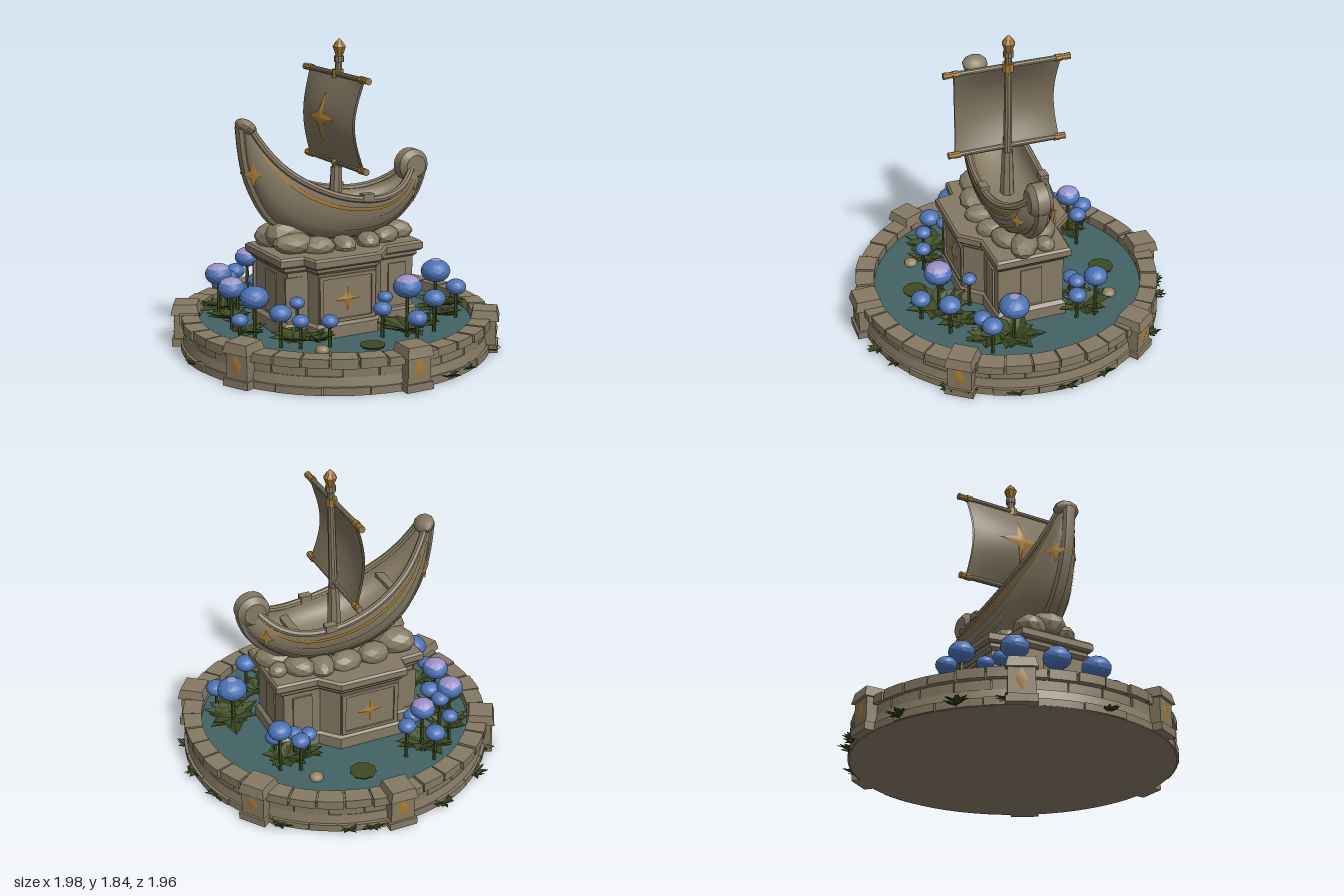
import * as THREE from 'three';
import { mergeGeometries, toCreasedNormals } from 'three/addons/utils/BufferGeometryUtils.js';
import { ParametricGeometry } from 'three/addons/geometries/ParametricGeometry.js';

const V = (x, y, z) => new THREE.Vector3(x, y, z);

export function createModel() {
  const root = new THREE.Group();
  root.name = 'shipFountain';
  const mat = (name, color) => new THREE.MeshStandardMaterial({ name, color, side: THREE.DoubleSide });
  const stone = mat('stone', 0x857963), sailStone = mat('sail stone', 0x7b705b), gold = mat('gold', 0xa67a33);
  const water = mat('water', 0x426264), leafGreen = mat('leaf green', 0x3c4a20), grassGreen = mat('grass green', 0x36461f);
  const blue = mat('petal blue', 0x4c72b4), lavender = mat('petal lavender', 0x9a90c6), pebble = mat('pebble', 0x978467);

  let seed = 7;
  const rnd = () => (seed = (seed * 16807) % 2147483647) / 2147483647;
  const jit = a => (rnd() - 0.5) * 2 * a;

  function add(name, geo, material, parent = root, crease = 0.6) {
    const m = new THREE.Mesh(toCreasedNormals(geo, crease), material);
    m.name = name;
    parent.add(m);
    return m;
  }
  const box = (w, h, d, x, y, z) => new THREE.BoxGeometry(w, h, d).translate(x, y, z);
  const rod = (a, b, r0, r1, sides = 10) => new THREE.CylinderGeometry(r1, r0, a.distanceTo(b), sides)
    .applyQuaternion(new THREE.Quaternion().setFromUnitVectors(V(0, 1, 0), b.clone().sub(a).normalize()))
    .translate((a.x + b.x) / 2, (a.y + b.y) / 2, (a.z + b.z) / 2);
  const tube = (pts, r, n = 32) => new THREE.TubeGeometry(new THREE.CatmullRomCurve3(pts), n, r, 8);

  // Curved stone block: a box bent around the basin
  function sector(r0, r1, y0, y1, a0, a1) {
    const g = new THREE.BoxGeometry(1, 1, 1, 4, 1, 1), p = g.attributes.position;
    for (let i = 0; i < p.count; i++) {
      const a = a0 + (p.getX(i) + 0.5) * (a1 - a0), r = r0 + (p.getZ(i) + 0.5) * (r1 - r0);
      p.setXYZ(i, r * Math.sin(a), y0 + (p.getY(i) + 0.5) * (y1 - y0), r * Math.cos(a));
    }
    return g;
  }
  function course(name, n, r0, r1, y0, y1, gap, wob) {
    const parts = [];
    for (let i = 0; i < n; i++) {
      const a = i / n * Math.PI * 2;
      parts.push(sector(r0, r1 + jit(wob), y0, y1 + jit(wob * 0.6), a, a + Math.PI * 2 / n - gap));
    }
    add(name, mergeGeometries(parts), stone);
  }

  // Basin
  add('basinFloor', new THREE.CylinderGeometry(0.9, 0.92, 0.1, 64).translate(0, 0.05, 0), stone);
  course('basinFoot', 22, 0.8, 0.925, 0.003, 0.045, 0.006, 0.006);
  course('basinWall', 28, 0.82, 0.895, 0.045, 0.16, 0.008, 0.006);
  add('basinWallCore', new THREE.CylinderGeometry(0.882, 0.882, 0.15, 64, 1, true).translate(0, 0.1, 0), stone);
  course('basinRim', 36, 0.815, 0.925, 0.155, 0.208, 0.012, 0.008);
  add('rimCore', sector(0.822, 0.912, 0.1, 0.2, 0, 0.01), stone);
  add('rimBed', new THREE.RingGeometry(0.82, 0.91, 64).rotateX(-Math.PI / 2).translate(0, 0.197, 0), stone);
  add('waterSurface', new THREE.CircleGeometry(0.84, 64).rotateX(-Math.PI / 2).translate(0, 0.15, 0), water);

  // Thin star or diamond; place(x, y) maps its flat points onto a surface
  const star = (n, R, r, sy, place) => new ParametricGeometry((u, v, t) => {
    const i = Math.round(u * n * 2), k = v * (i % 2 ? r : R), a = i * Math.PI / n;
    t.copy(place(k * Math.sin(a), k * Math.cos(a) * sy, v));
  }, n * 2, 4);

  // Piers around the basin
  [0, 54, 127, 180, -119, -63].forEach(deg => {
    const pier = new THREE.Group();
    pier.name = 'pier';
    pier.rotation.y = deg * Math.PI / 180;
    root.add(pier);
    add('pierBody', mergeGeometries([box(0.145, 0.21, 0.14, 0, 0.108, 0.89), box(0.17, 0.045, 0.16, 0, 0.025, 0.893)]), stone, pier);
    const cap = new THREE.CylinderGeometry(0.1, 0.12, 0.06, 4).rotateY(Math.PI / 4).translate(0, 0.225, 0.893);
    add('pierCap', cap, stone, pier);
    add('pierDiamond', star(2, 0.065, 0.036, 1, (x, y, v) => V(x, y + 0.13, 0.97 - 0.008 * v)), gold, pier);
  });

  // Pedestal: stepped cross outline stacked in slabs
  const outline = [[-0.47, -0.23], [-0.33, -0.24], [-0.31, -0.345], [0.11, -0.345], [0.21, -0.235], [0.46, -0.225],
    [0.46, 0.225], [0.21, 0.235], [0.11, 0.345], [-0.31, 0.345], [-0.33, 0.24], [-0.47, 0.23]];
  function slab(name, s, y0, y1, bevel) {
    const sh = new THREE.Shape(outline.map(([x, z]) => new THREE.Vector2(x * s, z * s)));
    const g = new THREE.ExtrudeGeometry(sh, { depth: y1 - y0 - bevel * 2, bevelEnabled: true, bevelThickness: bevel,
      bevelSize: bevel, bevelOffset: -bevel, bevelSegments: 1 });
    add(name, g.rotateX(-Math.PI / 2).translate(0, y0 + bevel, 0), stone);
  }
  slab('pedestalFoot', 0.95, 0.1, 0.24, 0.02);
  slab('pedestalBody', 0.9, 0.2, 0.58, 0.005);
  slab('pedestalNeck', 0.95, 0.53, 0.59, 0.02);
  slab('pedestalCornice', 1.02, 0.57, 0.63, 0.012);
  for (const s of [1, -1]) {
    // Raised frame and star on each long side
    const frame = [box(0.36, 0.02, 0.02, -0.09, 0.51, s * 0.312), box(0.36, 0.02, 0.02, -0.09, 0.25, s * 0.312)];
    for (const x of [-0.26, 0.08]) frame.push(box(0.025, 0.28, 0.02, x, 0.38, s * 0.312));
    for (const x of [-0.38, 0.3]) frame.push(box(0.12, 0.26, 0.012, x, 0.38, s * 0.212));
    frame.push(box(0.012, 0.25, 0.13, s > 0 ? 0.415 : -0.424, 0.38, 0));
    add('pedestalFrame', mergeGeometries(frame), stone);
    add('pedestalStar', star(4, 0.082, 0.028, 1, (x, y, v) => V(x - 0.09, y + 0.37, s * (0.322 - 0.009 * v))), gold);
  }

  // Rocks under the hull
  const rocks = [[-0.33, 0.68, 0.1, 0.1], [-0.34, 0.68, -0.1, 0.11], [-0.2, 0.66, 0.15, 0.09], [-0.18, 0.66, -0.16, 0.09],
    [-0.03, 0.65, 0.16, 0.08], [0, 0.65, -0.16, 0.09], [0.14, 0.65, 0.15, 0.08], [0.15, 0.65, -0.14, 0.09],
    [0.28, 0.66, 0.11, 0.08], [0.28, 0.66, -0.12, 0.08], [0.38, 0.66, 0.03, 0.09], [0.4, 0.65, -0.09, 0.06], [-0.3, 0.72, 0, 0.13]];
  rocks.forEach(([x, y, z, r]) => {
    const g = new THREE.IcosahedronGeometry(r, 1).scale(1.2 + jit(0.15), 0.72 + jit(0.1), 0.9);
    add('rock', g.rotateY(rnd() * 6).translate(x, y, z), stone, root, 0.3);
  });

  // Hull: sheer points (x, y, half width) paired with keel points
  const sheer = new THREE.CatmullRomCurve3([V(-0.57, 1.37, 0.045), V(-0.5, 1.25, 0.085), V(-0.4, 1.13, 0.13), V(-0.26, 1.03, 0.17),
    V(-0.08, 0.95, 0.195), V(0.1, 0.91, 0.195), V(0.25, 0.905, 0.175), V(0.37, 0.935, 0.135), V(0.45, 0.985, 0.09), V(0.5, 1.04, 0.05)]);
  const keel = new THREE.CatmullRomCurve3([V(-0.61, 1.37, 0), V(-0.585, 1.15, 0), V(-0.535, 0.99, 0), V(-0.43, 0.82, 0),
    V(-0.22, 0.69, 0), V(0.03, 0.65, 0), V(0.28, 0.68, 0), V(0.46, 0.79, 0), V(0.555, 0.91, 0), V(0.59, 1.01, 0)]);
  function hullPoint(u, th, out = 0, depth = 1) {
    const t = sheer.getPoint(u), k = keel.getPoint(u), c = Math.cos(th), f = Math.sin(th) * depth;
    return V(t.x + (k.x - t.x) * f, t.y + (k.y - t.y) * f - out * 0.4 * f, Math.sign(c) * Math.abs(c) ** 0.8 * (t.z + out));
  }
  const ribbon = (u0, u1, a, b, out) => new ParametricGeometry((u, v, t) =>
    t.copy(hullPoint(u0 + u * (u1 - u0), a + v * (b - a), out)), 40, 2);
  const ship = new THREE.Group();
  ship.name = 'ship';
  root.add(ship);
  add('hullOuter', new ParametricGeometry((u, v, t) => t.copy(hullPoint(u, v * Math.PI)), 40, 20), stone, ship);
  add('hullInner', new ParametricGeometry((u, v, t) => t.copy(hullPoint(u, v * Math.PI, -0.028, 0.5)), 40, 14), stone, ship);
  for (const s of [1, -1]) {
    const side = a => s > 0 ? a : Math.PI - a;
    const along = (a, out) => Array.from({ length: 16 }, (_, i) => hullPoint(i / 15, side(a), out));
    add('gunwale', tube(along(0, -0.008), 0.022), stone, ship);
    add('goldStripe', ribbon(0.12, 0.9, side(0.17), side(0.25), 0.008), gold, ship);
    for (const a of [0.3, 0.62, 0.95]) add('plankWale', ribbon(0.06, 0.94, side(a), side(a + 0.16), 0.006), stone, ship);
    // Gold ornaments on bow and stern quarters
    for (const [u, a, r] of [[0.15, 1.12, 0.075], [0.84, 0.62, 0.06]]) {
      const c = hullPoint(u, side(a), 0.012);
      add('hullOrnament', star(4, r, r * 0.42, 1, (x, y, v) => V(c.x + x * 0.6, c.y + y, c.z + s * (0.012 - (x * (u < 0.5 ? -0.7 : 0.7)) * 0.8 - 0.006 * v))), gold, ship);
    }
    // Cross thwart ends
    add('railBlock', box(0.07, 0.04, 0.05, 0.11, 0.925, s * 0.185), stone, ship);
  }
  add('stemAndKeel', tube(Array.from({ length: 16 }, (_, i) => keel.getPoint(i / 15)), 0.03, 40).scale(1, 1, 1.35), stone, ship);
  for (const u of [0.3, 0.68]) {
    const p = hullPoint(u, 0.25, -0.03, 1);
    add('thwart', box(0.05, 0.025, p.z * 2, p.x, p.y, 0), stone, ship);
  }
  const knob = new THREE.SphereGeometry(0.06, 10, 8).scale(1.05, 0.7, 1.35).rotateZ(-0.6);
  add('bowKnob', knob.translate(-0.575, 1.365, 0), stone, ship);
  const scroll = [[0, -0.065], [0.065, -0.065], [0.098, -0.035], [0.098, 0.035], [0.065, 0.065], [0, 0.065]];
  add('sternScroll', new THREE.LatheGeometry(scroll.map(p => new THREE.Vector2(...p)), 20).rotateX(Math.PI / 2).translate(0.52, 1.045, 0), stone, ship);

  // Mast, yards and finial
  add('mast', rod(V(0, 0.75, 0), V(0.025, 1.74, 0), 0.03, 0.02), stone, ship);
  add('mastSleeve', rod(V(0, 0.76, 0), V(0.008, 1.08, 0), 0.046, 0.034, 8), stone, ship);
  add('mastCollar', new THREE.CylinderGeometry(0.03, 0.03, 0.035, 10).translate(0.025, 1.715, 0), stone, ship);
  const finial = [[0, 1.725], [0.02, 1.73], [0.04, 1.785], [0.02, 1.815], [0, 1.835]];
  add('finial', new THREE.LatheGeometry(finial.map(p => new THREE.Vector2(...p)), 8).translate(0.027, 0, 0), gold, ship);
  for (const [y, half] of [[1.63, 0.38], [1.11, 0.36]]) {
    add('yard', rod(V(0.005, y, -half), V(0.005, y, half), 0.016, 0.016), stone, ship);
    for (const s of [1, -1]) {
      add('yardTip', rod(V(0.005, y, s * (half - 0.05)), V(0.005, y, s * half), 0.018, 0.021, 8), gold, ship);
      add('yardBand', rod(V(0.005, y, s * 0.29), V(0.005, y, s * 0.325), 0.022, 0.022, 8), gold, ship);
    }
  }
  add('mastBand', new THREE.CylinderGeometry(0.034, 0.034, 0.05, 8).translate(0.018, 1.63, 0), gold, ship);
  add('lowerMastBand', new THREE.SphereGeometry(0.026, 8, 6).translate(0, 1.11, 0), gold, ship);

  // Billowing sail with its star
  const sailX = (y, z) => -(0.05 + 0.05 * (1 - (z / 0.31) ** 2)) * Math.sin(Math.PI * Math.min(1, Math.max(0, (y - 1.11) / 0.51)));
  for (const off of [0, 0.014]) add('sail', new ParametricGeometry((u, v, t) => {
    const y = 1.11 + 0.51 * v, z = (u - 0.5) * (0.64 - 0.035 * Math.sin(Math.PI * v));
    t.set(sailX(y, z) + off, y, z);
  }, 14, 14), sailStone, ship);
  add('sailStar', star(4, 0.15, 0.045, 1, (x, y, v) => V(sailX(1.38 + y, x) - 0.015 + 0.009 * v, 1.38 + y, x)), gold, ship);

  // Leaf rosettes
  function leaf(l, w, pitch, yaw) {
    const a = [0, 0, 0], b = [w, 0.15 * w, l * 0.55], c = [0, -0.2 * w, l * 0.55], d = [-w, 0.15 * w, l * 0.55], e = [0, -0.3 * w, l];
    const g = new THREE.BufferGeometry();
    g.setAttribute('position', new THREE.Float32BufferAttribute([a, c, b, a, d, c, c, e, b, d, e, c].flat(), 3));
    g.computeVertexNormals();
    return g.rotateX(-pitch).rotateY(yaw);
  }
  function rosette(name, x, y, z, r, n, width, lift, material) {
    const parts = [];
    for (let i = 0; i < n; i++) {
      const k = 0.6 + 0.4 * rnd();
      parts.push(leaf(r * k, r * width, lift * (1.7 - k) + jit(0.1), i * 2.4 + jit(0.3)).translate(x, y + rnd() * 0.02, z));
    }
    add(name, mergeGeometries(parts), material);
  }
  [[-0.36, -0.52, 0.2], [-0.55, -0.42, 0.17], [-0.6, -0.2, 0.17], [-0.62, 0.1, 0.13], [-0.46, 0.35, 0.2], [-0.33, 0.42, 0.13], [0.2, 0.5, 0.22],
    [0.35, 0.42, 0.15], [0.6, 0.18, 0.21], [0.57, 0.32, 0.15], [0.45, -0.32, 0.19], [0.33, -0.32, 0.12]].forEach(([x, z, r]) =>
    rosette('leaves', x, 0.17, z, r, 16, 0.24, 0.42, leafGreen));

  // Round blossoms: x, z, radius, height, lavender crown
  [[-0.36, -0.64, 0.06, 0.34], [-0.33, -0.53, 0.075, 0.45, 1], [-0.22, -0.55, 0.055, 0.37], [-0.32, -0.42, 0.055, 0.33], [-0.53, -0.5, 0.05, 0.32],
    [-0.6, -0.36, 0.08, 0.42, 1], [-0.52, -0.39, 0.055, 0.38], [-0.53, -0.24, 0.06, 0.35], [-0.63, -0.11, 0.08, 0.4, 1], [-0.61, 0.16, 0.085, 0.41],
    [-0.69, 0.13, 0.05, 0.28], [-0.53, 0.33, 0.065, 0.35], [-0.44, 0.4, 0.05, 0.31], [-0.4, 0.28, 0.045, 0.38], [-0.28, 0.45, 0.05, 0.3],
    [0.2, 0.5, 0.085, 0.45, 1], [0.39, 0.49, 0.066, 0.35], [0.2, 0.61, 0.06, 0.29], [0.17, 0.3, 0.045, 0.34], [0.07, 0.44, 0.055, 0.32],
    [0.6, 0.17, 0.09, 0.41, 2], [0.5, 0.33, 0.055, 0.29], [0.65, 0.32, 0.062, 0.34], [0.51, -0.37, 0.07, 0.43], [0.4, -0.42, 0.055, 0.36],
    [0.3, -0.3, 0.05, 0.3], [0.39, -0.3, 0.05, 0.33], [0.5, -0.26, 0.055, 0.31]].forEach(([x, z, r, y, crown]) => {
    add('flowerStem', rod(V(x, 0.15, z), V(x, y, z), 0.012, 0.01, 5), leafGreen);
    add('blossom', new THREE.IcosahedronGeometry(r, 2).scale(1, 0.78, 1).translate(x, y, z), blue, root, 0.25);
    if (crown) add('blossomCrown', new THREE.SphereGeometry(r * 1.03, 10, 4, 0, Math.PI * 2, 0, crown === 1 ? 0.95 : 0.35)
      .scale(1, 0.8, 1).translate(x, y, z), lavender, root, 0.25);
  });

  // Lily pads and pebbles
  [[0.08, -0.59, 0.08], [-0.07, 0.57, 0.075]].forEach(([x, z, r]) =>
    add('lilyPad', new THREE.CylinderGeometry(r, r * 0.9, 0.012, 9).translate(x, 0.16, z), leafGreen));
  [[0.35, -0.53], [-0.36, 0.51]].forEach(([x, z]) =>
    add('pebble', new THREE.IcosahedronGeometry(0.042, 1).scale(1, 0.7, 1).translate(x, 0.16, z), pebble));

  // Grass tufts around the foot
  [[-0.6, -0.71], [0.17, -0.91], [0.3, -0.87], [0.64, -0.68], [0.87, -0.28], [0.92, -0.03], [0.87, 0.25], [0.7, 0.6], [0.76, 0.5],
    [0.24, 0.89], [0.39, 0.82], [-0.77, -0.5], [-0.91, 0.02], [-0.3, -0.88]].forEach(([x, z]) =>
    rosette('grassTuft', x, 0.006, z, 0.085, 18, 0.17, 0.5, grassGreen));
  return root;
}
